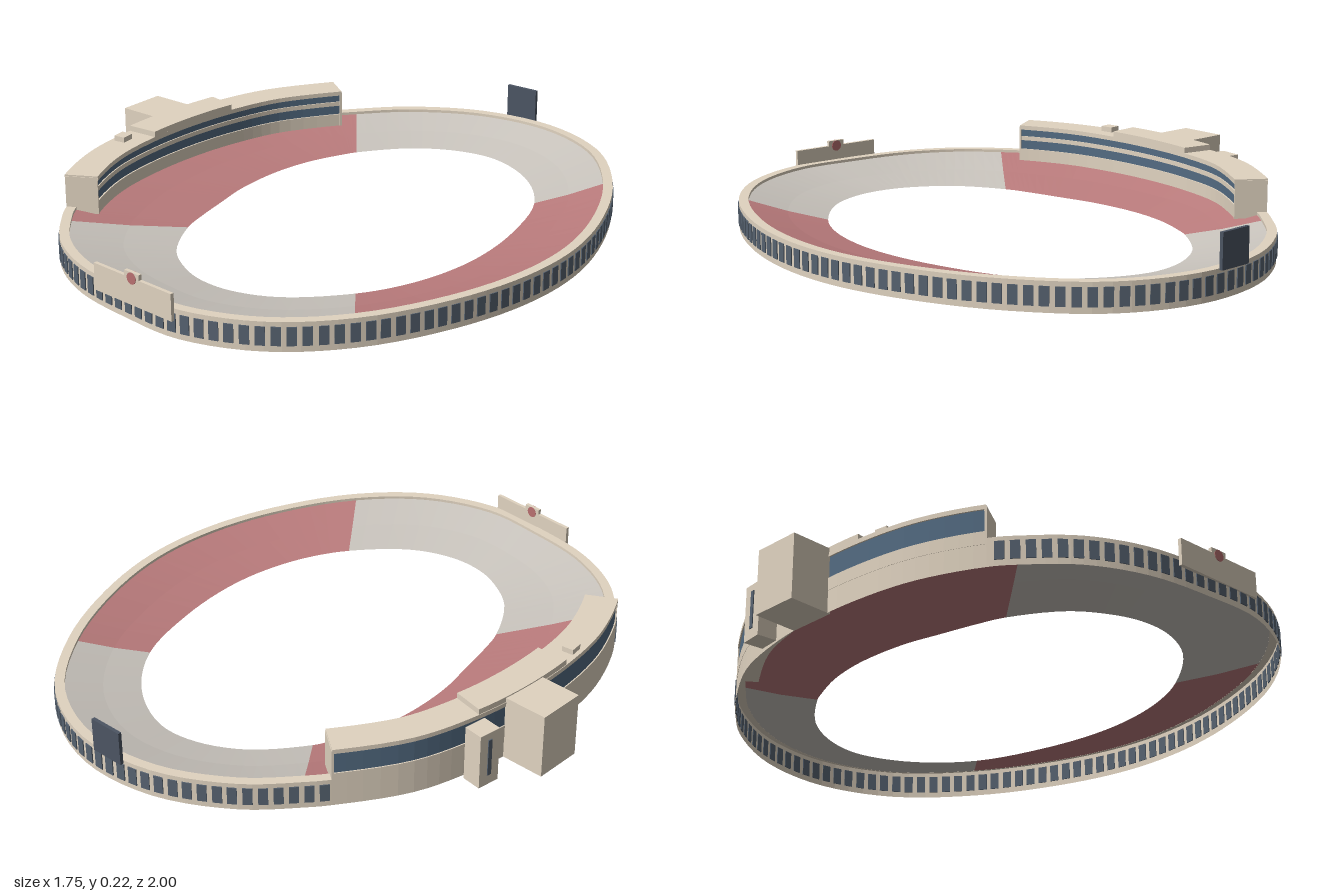
import * as THREE from 'three';
import { mergeGeometries } from 'three/addons/utils/BufferGeometryUtils.js';

// Paired plan stations, clockwise from the back: outer x, outer z, inner x, inner z
const STATIONS = [
  [0.07, -0.99, 0.05, -0.72], [0.34, -0.92, 0.24, -0.66], [0.57, -0.72, 0.41, -0.51],
  [0.74, -0.46, 0.52, -0.28], [0.84, -0.2, 0.575, -0.07], [0.868, 0.06, 0.585, 0.1],
  [0.83, 0.34, 0.56, 0.27], [0.72, 0.63, 0.5, 0.42], [0.55, 0.84, 0.36, 0.6],
  [0.32, 0.962, 0.22, 0.675], [0.1, 0.98, 0.1, 0.688], [-0.13, 0.968, 0, 0.665],
  [-0.32, 0.9, -0.12, 0.6], [-0.46, 0.79, -0.24, 0.45], [-0.53, 0.715, -0.28, 0.36],
  [-0.64, 0.52, -0.33, 0.22], [-0.7, 0.31, -0.365, 0.12], [-0.727, 0.1, -0.39, 0],
  [-0.725, -0.1, -0.4, -0.12], [-0.69, -0.31, -0.39, -0.25], [-0.583, -0.54, -0.355, -0.38],
  [-0.54, -0.61, -0.34, -0.42], [-0.42, -0.77, -0.23, -0.59], [-0.2, -0.93, -0.09, -0.69],
];
const N = STATIONS.length;
const ring = (i) => new THREE.CatmullRomCurve3(
  STATIONS.map((s) => new THREE.Vector3(s[i], 0, s[i + 1])), true);
const outer = ring(0), inner = ring(2);
const wrap = (u) => (((u % N) + N) % N) / N;

const paint = (color) => new THREE.MeshStandardMaterial({ color, flatShading: true, side: THREE.DoubleSide });
const MAT = {
  cream: paint(0xe0d3c0), red: paint(0xbb7c7d), grey: paint(0xc9c4bd),
  glass: paint(0x536b82), window: paint(0x566270), board: paint(0x4c5563), crest: paint(0xb87070),
};

// Point on the outline at station u, moved inward by d and up to y
function rimPoint(u, d, y) {
  const p = outer.getPoint(wrap(u)), t = outer.getTangent(wrap(u));
  return new THREE.Vector3(p.x - t.z * d, y, p.z + t.x * d);
}
const at = (d, y) => (u) => rimPoint(u, d, y);

// Sweep a profile (functions of u) from u0 to u1; optionally cap the ends
function sweep(u0, u1, profile, capped = false) {
  const steps = Math.ceil((u1 - u0) * 5), pos = [];
  const quad = (a, b, c, d) => [a, b, c, a, c, d].forEach((v) => pos.push(v.x, v.y, v.z));
  let prev = profile.map((f) => f(u0));
  if (capped) quad(prev[0], prev[1], prev[2], prev[3]);
  for (let i = 1; i <= steps; i++) {
    const u = u0 + ((u1 - u0) * i) / steps, next = profile.map((f) => f(u));
    for (let j = 0; j + 1 < next.length; j++) quad(prev[j], next[j], next[j + 1], prev[j + 1]);
    prev = next;
  }
  if (capped) quad(prev[3], prev[2], prev[1], prev[0]);
  const g = new THREE.BufferGeometry();
  g.setAttribute('position', new THREE.Float32BufferAttribute(pos, 3));
  g.computeVertexNormals();
  return g;
}

// Curved block following the outline between depths d0..d1 and heights y0..y1
const block = (u0, u1, d0, d1, y0, y1) =>
  sweep(u0, u1, [at(d0, y0), at(d0, y1), at(d1, y1), at(d1, y0), at(d0, y0)], true);

export function createModel() {
  const group = new THREE.Group();
  const add = (name, geometry, mat, parent = group) => {
    const m = new THREE.Mesh(geometry, mat);
    m.name = name;
    parent.add(m);
    return m;
  };
  const box = (name, size, position, mat, turn = 0, parent = group) => {
    const m = add(name, new THREE.BoxGeometry(...size), mat, parent);
    m.position.set(...position);
    m.rotation.y = turn;
    return m;
  };

  // Outer wall and flat rim
  add('outerWall', sweep(0, N, [at(0, 0), at(0, 0.095), at(0.032, 0.095), at(0.032, 0.085)]), MAT.cream);

  // Seating bowl: a two-slope rake, split into coloured sectors
  const rake = (k, y) => (u) => {
    const p = rimPoint(u, 0.03, 0).lerp(inner.getPoint(wrap(u)), k);
    p.y = y;
    return p;
  };
  const tiers = [rake(0, 0.086), rake(0.5, 0.054), rake(1, 0.03)];
  [['leftSeats', 2, 7, MAT.red], ['frontSeats', 7, 13, MAT.grey],
    ['rightSeats', 13, 21, MAT.red], ['backSeats', 21, 26, MAT.grey]]
    .forEach(([name, a, b, mat]) => add(name, sweep(a, b, tiers), mat));

  // Window panels at an even pitch, everywhere but behind the grandstand
  const panes = [], pitch = 0.046;
  let travelled = pitch / 2, last = rimPoint(20, 0, 0);
  for (let u = 20; u < 38; u += 0.005) {
    const p = rimPoint(u, 0, 0.05);
    travelled += Math.hypot(p.x - last.x, p.z - last.z);
    last = p;
    if (travelled < pitch) continue;
    travelled -= pitch;
    const t = outer.getTangent(wrap(u));
    panes.push(new THREE.BoxGeometry(0.03, 0.06, 0.006)
      .rotateY(Math.atan2(-t.z, t.x)).translate(p.x, p.y, p.z));
  }
  add('windows', mergeGeometries(panes), MAT.window);

  // Grandstand on the right side
  const stand = new THREE.Group();
  stand.name = 'grandstand';
  group.add(stand);
  const A = 14, B = 20;
  add('standBase', block(A, B, -0.001, 0.105, 0.075, 0.118), MAT.cream, stand);
  add('standGlass', block(A, B, 0.003, 0.1, 0.118, 0.19), MAT.glass, stand);
  add('standBand', block(A, B, 0.09, 0.104, 0.15, 0.165), MAT.cream, stand);
  add('standRoof', block(A, B, -0.002, 0.108, 0.19, 0.205), MAT.cream, stand);
  add('standEndFront', block(A - 0.02, A + 0.03, -0.001, 0.107, 0.075, 0.2), MAT.cream, stand);
  add('standEndBack', block(B - 0.03, B + 0.02, -0.001, 0.107, 0.075, 0.2), MAT.cream, stand);
  add('raisedRoof', block(16, 17.93, 0, 0.108, 0.2, 0.224), MAT.cream, stand);
  box('roofUnit', [0.04, 0.02, 0.045], [-0.65, 0.213, 0.38], MAT.cream, 0.25, stand);

  // Stair towers outside the grandstand
  box('largeTower', [0.152, 0.22, 0.165], [-0.794, 0.11, 0.113], MAT.cream, 0.12);
  box('smallTower', [0.068, 0.19, 0.078], [-0.768, 0.095, -0.108], MAT.cream);
  box('smallTowerWindow', [0.01, 0.13, 0.015], [-0.8, 0.1, -0.108], MAT.window);

  // Back scoreboard
  box('scoreboard', [0.118, 0.115, 0.012], [-0.058, 0.148, -0.984], MAT.board, 0.15);

  // Front sign panel with a raised centre and round crest
  const sign = new THREE.Group();
  sign.name = 'signPanel';
  sign.position.set(0.143, 0, 0.983);
  sign.rotation.y = 0.06;
  group.add(sign);
  box('panel', [0.332, 0.088, 0.012], [0, 0.102, 0], MAT.cream, 0, sign);
  box('panelTop', [0.062, 0.02, 0.012], [0, 0.154, 0], MAT.cream, 0, sign);
  const crest = add('crest', new THREE.CylinderGeometry(0.019, 0.019, 0.016, 16), MAT.crest, sign);
  crest.rotation.x = Math.PI / 2;
  crest.position.y = 0.145;

  return group;
}
